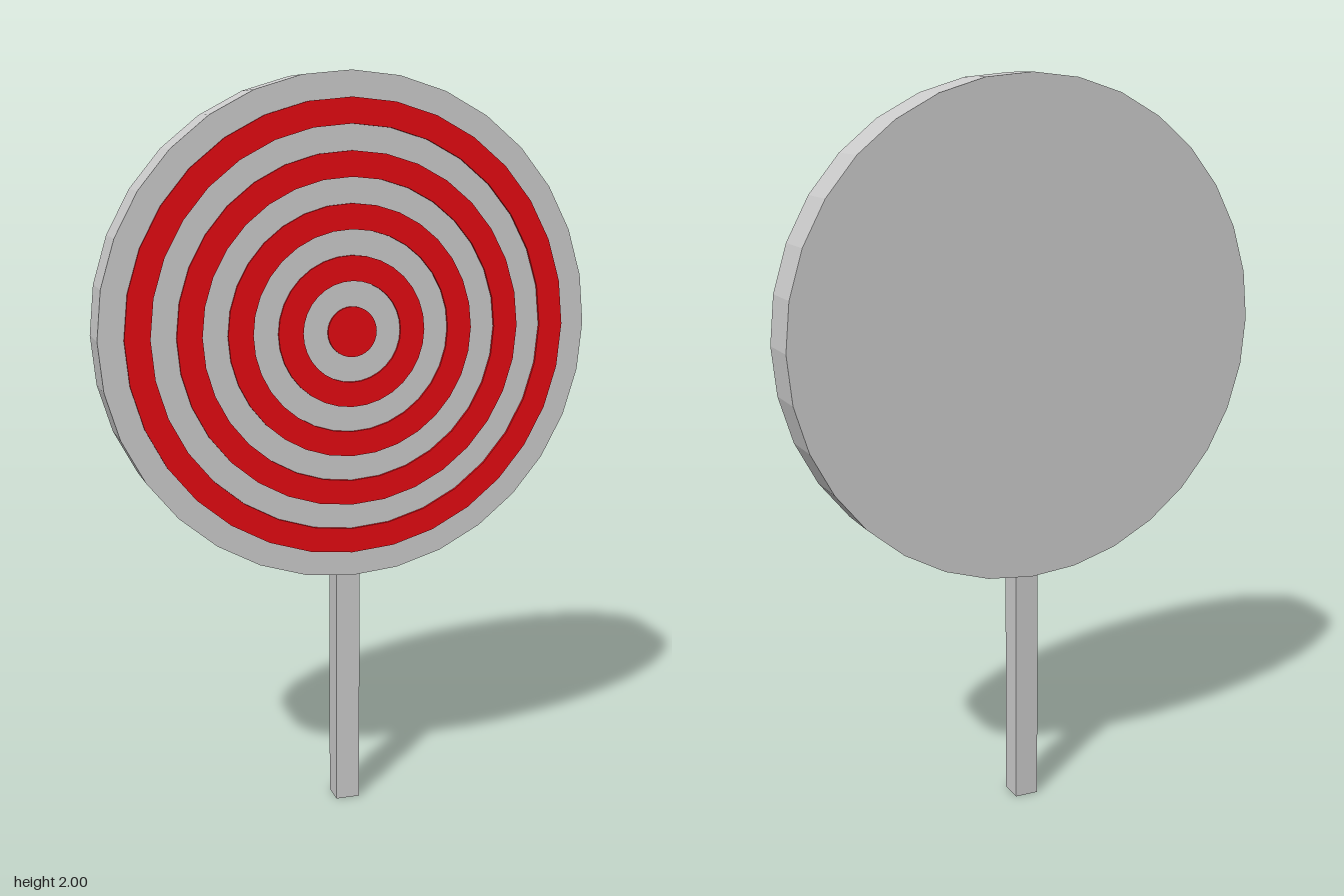
import * as THREE from 'three';

const SIDES = 32;
const STEP = 1 / 15; // width of one painted band
const CENTRE_Y = 4 / 3;
const BACK_Z = -0.07, FACE_Z = 0.063, RING_Z = 0.07;

const grey = new THREE.MeshStandardMaterial({ color: 0xcccccc, flatShading: true });
const red = new THREE.MeshStandardMaterial({ color: 0xe50a12, flatShading: true });

// Regular polygon outline with a corner at the top
function circlePoints(radius) {
  return Array.from({ length: SIDES }, (_, i) => {
    const a = (i / SIDES) * Math.PI * 2;
    return new THREE.Vector2(radius * Math.cos(a), radius * Math.sin(a));
  });
}

// Flat disc, or a ring when inner > 0, spanning z0 to z1
function plate(name, outer, inner, z0, z1, material) {
  const shape = new THREE.Shape(circlePoints(outer));
  if (inner > 0) shape.holes.push(new THREE.Path(circlePoints(inner).reverse()));
  const geometry = new THREE.ExtrudeGeometry(shape, { depth: z1 - z0, bevelEnabled: false });
  const mesh = new THREE.Mesh(geometry, material);
  mesh.name = name;
  mesh.position.set(0, CENTRE_Y, z0);
  return mesh;
}

export function createModel() {
  const model = new THREE.Group();
  model.name = 'targetOnPost';

  // Thick round board
  model.add(plate('board', 10 * STEP, 0, BACK_Z, FACE_Z, grey));

  // Raised rings on the front face, ending in a solid bullseye
  const rings = new THREE.Group();
  rings.name = 'rings';
  for (let k = 9; k >= 1; k -= 2) {
    rings.add(plate(k === 1 ? 'bullseye' : 'ring' + (k - 1) / 2, k * STEP, (k - 1) * STEP, FACE_Z, RING_Z, red));
  }
  model.add(rings);

  // Square post
  const height = 0.68;
  const post = new THREE.Mesh(new THREE.BoxGeometry(STEP, height, STEP), grey);
  post.name = 'post';
  post.position.set(0, height / 2, (BACK_Z + FACE_Z) / 2);
  model.add(post);

  return model;
}
